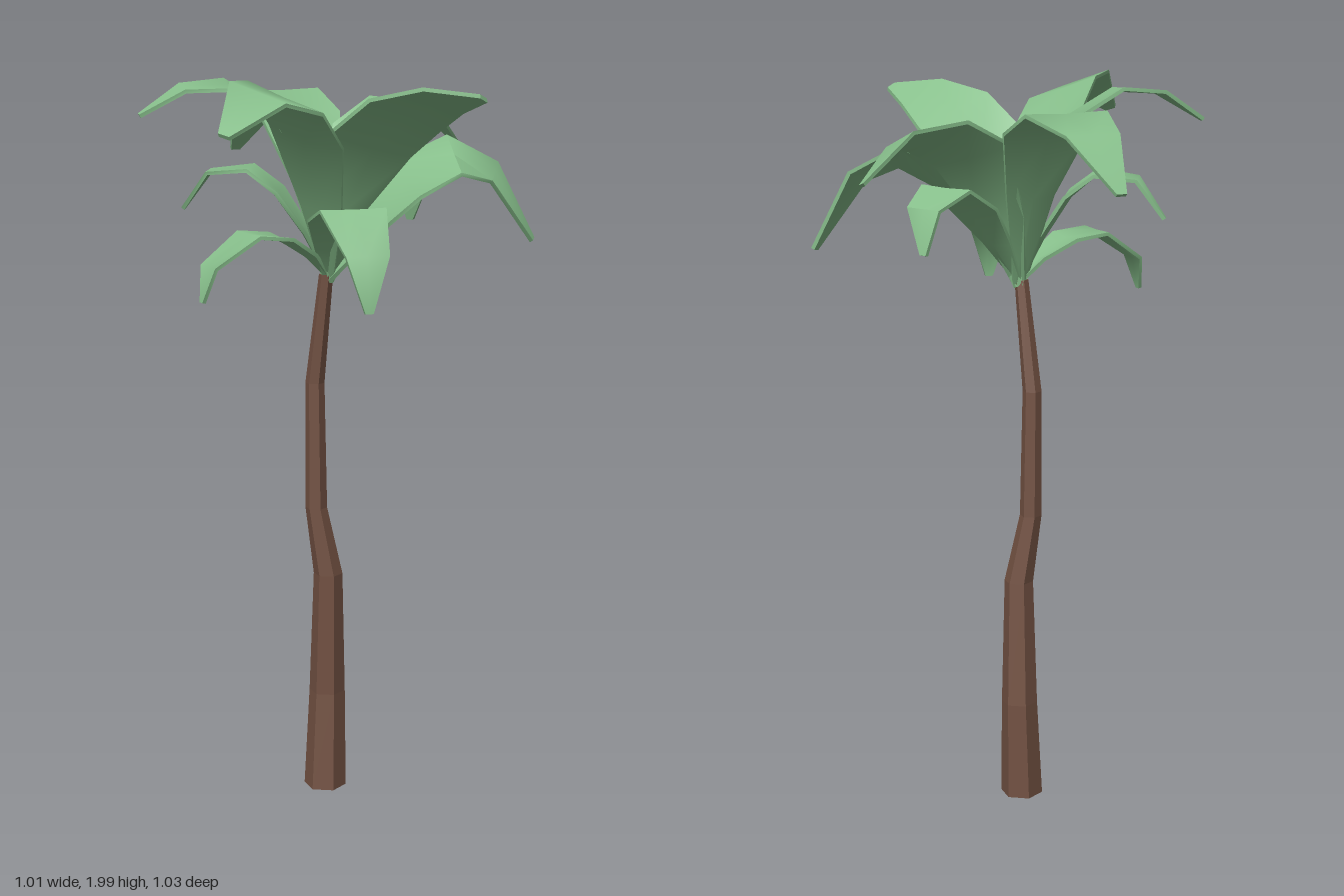
import * as THREE from 'three';
import { toCreasedNormals } from 'three/addons/utils/BufferGeometryUtils.js';

const BASE = [-0.02, 0.03]; // x, z of the crown
const HALF_WIDTHS = [0.016, 0.07, 0.122, 0.116, 0.075, 0.014];
const CUP = [0.3, 0.2, 0.1, 0.03, 0, 0];

// Hexagonal trunk, bent through stations of [y, x, z, radius]
function trunkGeometry() {
  const rows = [
    [0, -0.011, -0.015, 0.059], [0.28, -0.002, -0.021, 0.05], [0.63, -0.007, -0.002, 0.04],
    [0.82, -0.038, -0.012, 0.03], [1.17, -0.042, -0.01, 0.026], [1.47, -0.026, 0.03, 0.019],
  ];
  const geo = new THREE.CylinderGeometry(1, 1, 1, 6, rows.length - 1);
  const pos = geo.attributes.position;
  for (let i = 0; i < pos.count; i++) {
    const [y, x, z, r] = rows[Math.round((pos.getY(i) + 0.5) * (rows.length - 1))];
    pos.setXYZ(i, x + pos.getX(i) * r, y, z + pos.getZ(i) * r);
  }
  return geo;
}

// Thin box bent along an arching spine: r = distance from crown, y = height,
// bend = sideways bow of the spine, roll = tilt about the spine
function leafGeometry({ tip, r, y, roll = 0, bend = 0, scale = 1 }) {
  const last = r.length - 1;
  const dir = new THREE.Vector3(tip[0] - BASE[0], 0, tip[1] - BASE[1]).normalize();
  const side = new THREE.Vector3(-dir.z, 0, dir.x);
  const geo = new THREE.BoxGeometry(1, 1, 1, 2, 1, last);
  const pos = geo.attributes.position;
  const p = new THREE.Vector3();
  for (let i = 0; i < pos.count; i++) {
    const k = Math.round((0.5 - pos.getZ(i)) * last);
    const a = Math.max(k - 1, 0), b = Math.min(k + 1, last);
    const slope = Math.atan2(y[b] - y[a], r[b] - r[a]);
    const normal = dir.clone().multiplyScalar(-Math.sin(slope));
    normal.y = Math.cos(slope);
    const h = HALF_WIDTHS[k] * scale;
    const u = pos.getX(i) * 2 * h;
    const bow = bend * Math.sin(Math.PI * k / last);
    const lift = u * Math.sin(roll) + Math.abs(u) * CUP[k] + pos.getY(i) * 0.01;
    p.set(BASE[0], y[k], BASE[1]).addScaledVector(dir, r[k])
      .addScaledVector(side, u * Math.cos(roll) + bow).addScaledVector(normal, lift);
    pos.setXYZ(i, p.x, p.y, p.z);
  }
  return toCreasedNormals(geo, 0.9);
}

const UPPER = [
  { tip: [-0.08, -0.51], r: [0, 0.1, 0.2, 0.3, 0.42, 0.54], y: [1.45, 1.7, 1.87, 1.93, 1.89, 1.76], bend: 0.022 },
  { tip: [0.48, -0.19], r: [0, 0.08, 0.19, 0.3, 0.42, 0.54], y: [1.45, 1.63, 1.81, 1.87, 1.87, 1.77], roll: -0.4, bend: -0.012, scale: 0.95 },
  { tip: [0.5, 0.205], r: [0, 0.08, 0.2, 0.32, 0.43, 0.545], y: [1.45, 1.57, 1.715, 1.785, 1.74, 1.555], roll: -0.35, bend: 0.095 },
  { tip: [0.185, 0.51], r: [0, 0.07, 0.17, 0.28, 0.4, 0.52], y: [1.45, 1.65, 1.81, 1.895, 1.94, 1.95], roll: 0.42, bend: 0.015 },
  { tip: [-0.47, 0.465], r: [0, 0.1, 0.22, 0.34, 0.47, 0.62], y: [1.45, 1.64, 1.84, 1.945, 1.965, 1.875], roll: 0.35, bend: -0.03 },
  { tip: [-0.5, -0.085], r: [0, 0.06, 0.16, 0.27, 0.38, 0.49], y: [1.45, 1.69, 1.89, 1.965, 1.96, 1.89], roll: 0.08, bend: -0.04, scale: 0.9 },
];
const LOWER = [
  { tip: [-0.06, 0.385], r: [0, 0.06, 0.13, 0.22, 0.342, 0.355], y: [1.45, 1.54, 1.62, 1.66, 1.56, 1.42], scale: 0.76 },
  { tip: [-0.385, 0.06], r: [0, 0.06, 0.14, 0.23, 0.345, 0.365], y: [1.46, 1.52, 1.57, 1.585, 1.51, 1.42], scale: 0.6 },
  { tip: [-0.365, -0.155], r: [0, 0.06, 0.13, 0.2, 0.31, 0.385], y: [1.46, 1.58, 1.69, 1.75, 1.74, 1.64], bend: -0.05, scale: 0.7 },
  { tip: [0.31, -0.15], r: [0, 0.07, 0.15, 0.24, 0.34, 0.37], y: [1.46, 1.57, 1.67, 1.73, 1.69, 1.58], bend: 0.045, scale: 0.74 },
];

export function createModel() {
  const group = new THREE.Group();
  group.name = 'palmTree';
  const bark = new THREE.MeshStandardMaterial({ color: 0x735243, flatShading: true });
  const green = new THREE.MeshStandardMaterial({ color: 0x88c08c, side: THREE.DoubleSide });

  const trunk = new THREE.Mesh(trunkGeometry(), bark);
  trunk.name = 'trunk';
  group.add(trunk);

  // Two tiers of fronds
  for (const [name, specs] of [['upperLeaf', UPPER], ['lowerLeaf', LOWER]]) {
    specs.forEach((spec, i) => {
      const leaf = new THREE.Mesh(leafGeometry(spec), green);
      leaf.name = `${name}${i + 1}`;
      group.add(leaf);
    });
  }
  return group;
}
